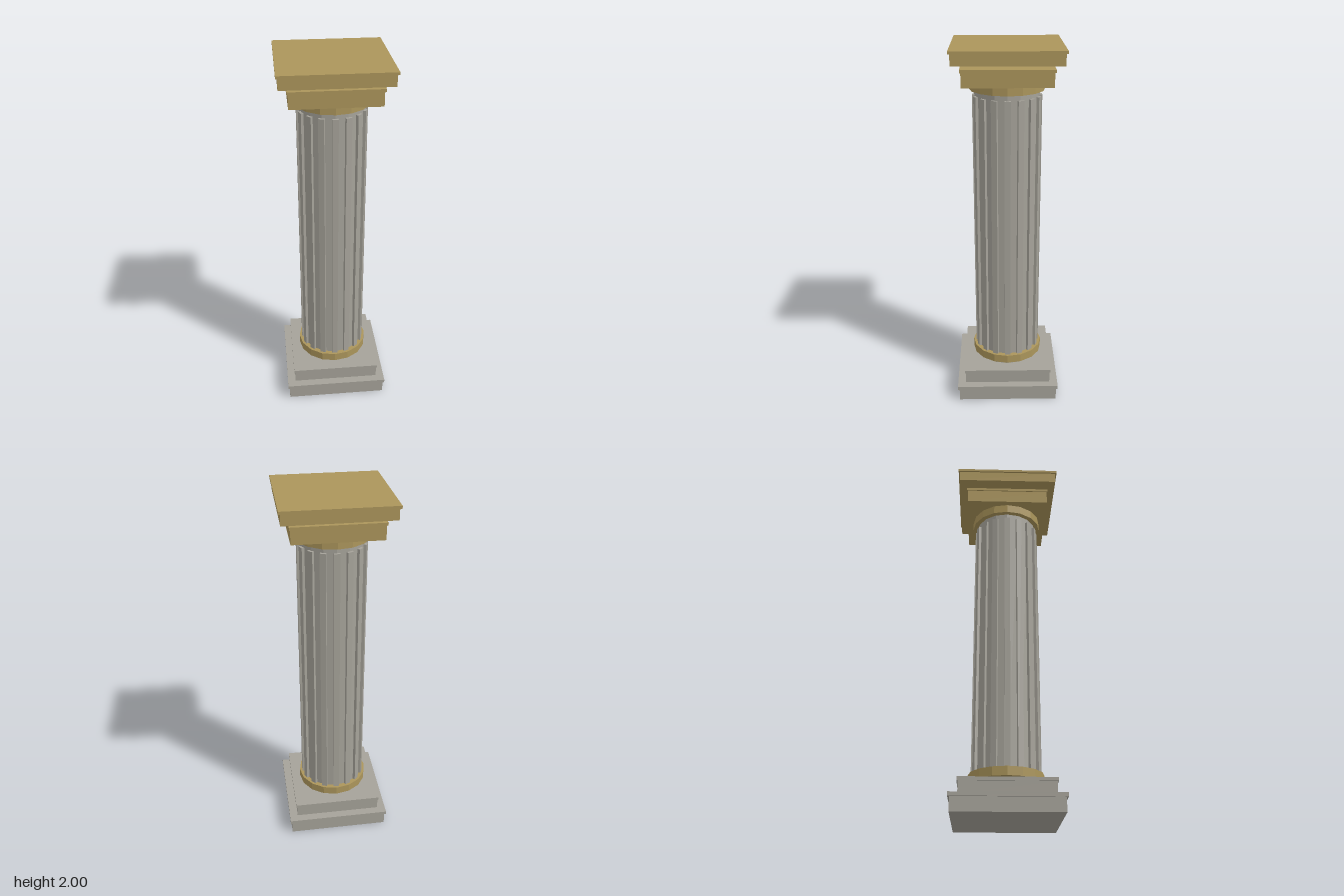
import * as THREE from 'three';

export function createModel() {
  const stone = new THREE.MeshStandardMaterial({ color: 0xa5a299 });
  stone.name = 'grey stone';
  const gold = new THREE.MeshStandardMaterial({ color: 0xab955b });
  gold.name = 'antique gold';
  stone.flatShading = gold.flatShading = true;

  const model = new THREE.Group();
  model.name = 'column';

  function add(name, geometry, material, y, parent = model) {
    const mesh = new THREE.Mesh(geometry, material);
    mesh.name = name;
    mesh.position.y = y;
    parent.add(mesh);
    return mesh;
  }
  // Square slab and sixteen-sided drum, given by half width or radius and y range
  const slab = (name, half, y0, y1, material) =>
    add(name, new THREE.BoxGeometry(half * 2, y1 - y0, half * 2), material, (y0 + y1) / 2);
  const drum = (name, radius, y0, y1, material) =>
    add(name, new THREE.CylinderGeometry(radius, radius, y1 - y0, 16), material, (y0 + y1) / 2);

  // Stepped base
  slab('plinth', 0.28, 0, 0.073, stone);
  slab('plinthLip', 0.289, 0.073, 0.093, stone);
  slab('upperPlinth', 0.243, 0.093, 0.158, stone);
  slab('upperPlinthLip', 0.249, 0.158, 0.176, stone);

  // Shaft with gold collars
  drum('shaftCore', 0.173, 0.176, 1.79, stone);
  drum('lowerCollar', 0.2, 0.196, 0.243, gold);
  drum('upperCollar', 0.2, 1.765, 1.813, gold);

  // Raised ribs around the shaft
  const ribs = new THREE.Group();
  ribs.name = 'shaftRibs';
  model.add(ribs);
  const ribGeometry = new THREE.BoxGeometry(0.032, 1.515, 0.03);
  for (let i = 0; i < 16; i++) {
    const angle = (i / 16) * Math.PI * 2;
    const rib = add('rib', ribGeometry, stone, 0.9775, ribs);
    rib.position.x = Math.sin(angle) * 0.17;
    rib.position.z = Math.cos(angle) * 0.17;
    rib.rotation.y = angle;
  }

  // Capital, with the top slab held just above it
  slab('capital', 0.232, 1.813, 1.888, gold);
  slab('capitalLip', 0.238, 1.888, 1.903, gold);
  slab('abacus', 0.28, 1.927, 1.986, gold);
  slab('abacusLip', 0.289, 1.986, 2, gold);

  return model;
}
